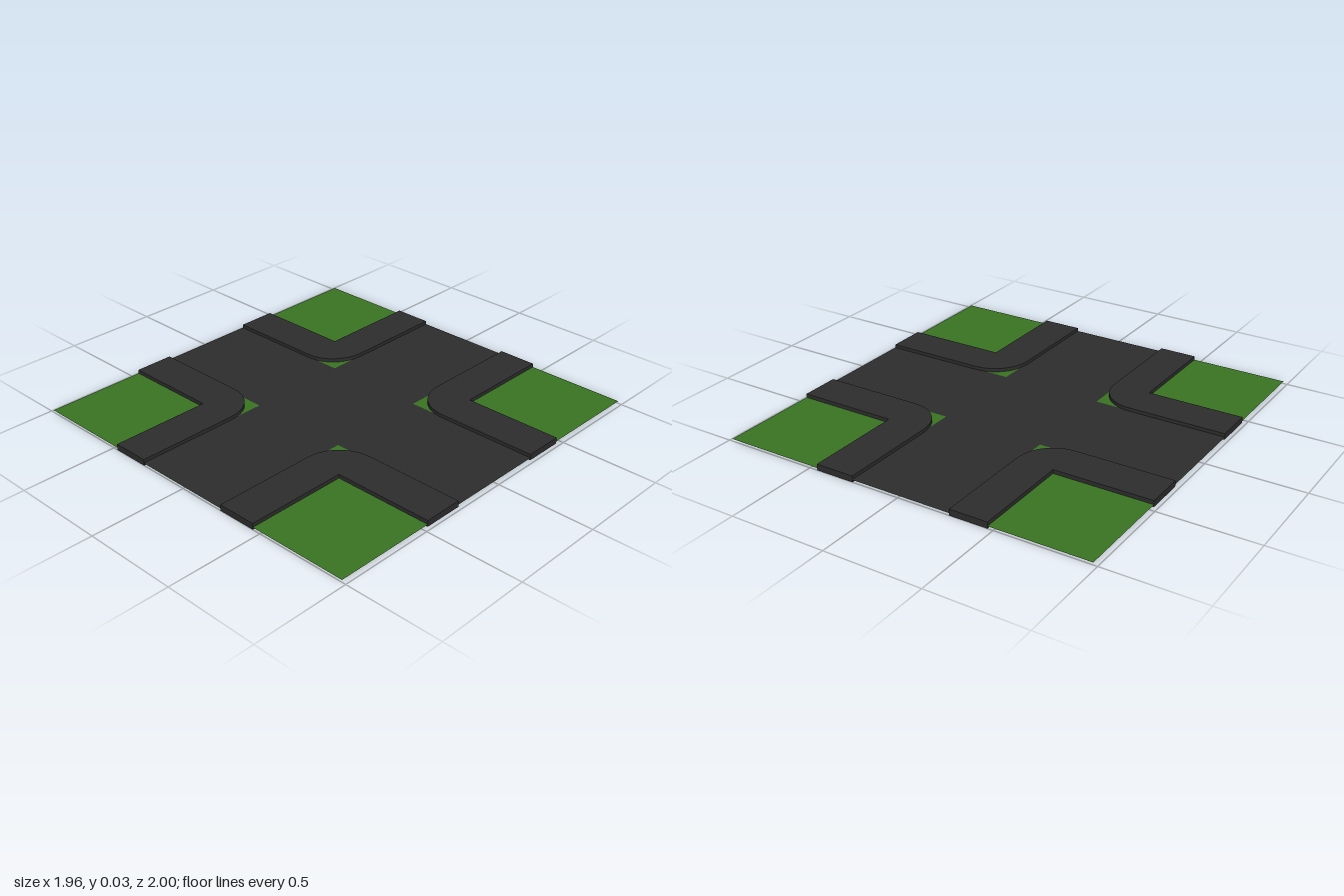
import * as THREE from 'three';

const X = 0.98, Z = 1, TOP = 0.032, GROUND = 0.012;

export function createModel() {
  const group = new THREE.Group();
  const grass = new THREE.MeshStandardMaterial({ name: 'grass green', color: 0x3b7523, side: THREE.DoubleSide });
  const asphalt = new THREE.MeshStandardMaterial({ name: 'asphalt', color: 0x2d2d2d });

  const add = (name, geometry, material, x, y, z) => {
    const mesh = new THREE.Mesh(geometry, material);
    mesh.name = name;
    mesh.position.set(x, y, z);
    group.add(mesh);
    return mesh;
  };
  const sheet = (w, d) => new THREE.PlaneGeometry(w, d).rotateX(-Math.PI / 2);

  // Grass sheet under everything, with the two crossing roads just above it
  add('grass', sheet(2 * X, 2 * Z), grass, 0, GROUND, 0);
  add('roadAcross', sheet(2 * X, 0.54), asphalt, 0, GROUND + 0.002, 0);
  add('roadAlong', sheet(0.54, 2 * Z), asphalt, -0.01, GROUND + 0.002, 0);

  // Box between two ground corners, from the base to the pavement top
  const slab = (name, x0, x1, z0, z1) =>
    add(name, new THREE.BoxGeometry(Math.abs(x1 - x0), TOP, Math.abs(z1 - z0)), asphalt,
      (x0 + x1) / 2, TOP / 2, (z0 + z1) / 2);

  for (const sx of [-1, 1]) for (const sz of [-1, 1]) {
    const side = (sz > 0 ? 'front' : 'back') + (sx > 0 ? 'Left' : 'Right');
    // Inner edge faces the road, outer edge faces the grass
    const xi = sx > 0 ? 0.252 : -0.275, xo = sx > 0 ? 0.457 : -0.472;
    const zi = sz * 0.263, zo = sz * 0.47;
    slab(side + 'PavementAlong', xi, xo, zo, sz * Z);
    slab(side + 'PavementAcross', xo, sx * X, zi, zo);

    // Rounded corner resting on the ground sheet (shape y is -z)
    const shape = new THREE.Shape();
    shape.moveTo(xo, -zo);
    shape.lineTo(xi, -zo);
    const k = 0.58;
    shape.bezierCurveTo(xi, -(zo + (zi - zo) * k), xo + (xi - xo) * k, -zi, xo, -zi);
    shape.closePath();
    const corner = new THREE.ExtrudeGeometry(shape, {
      depth: TOP - GROUND - 0.001, bevelEnabled: false, curveSegments: 12,
    }).rotateX(-Math.PI / 2);
    add(side + 'PavementCorner', corner, asphalt, 0, GROUND + 0.001, 0);
  }
  return group;
}
